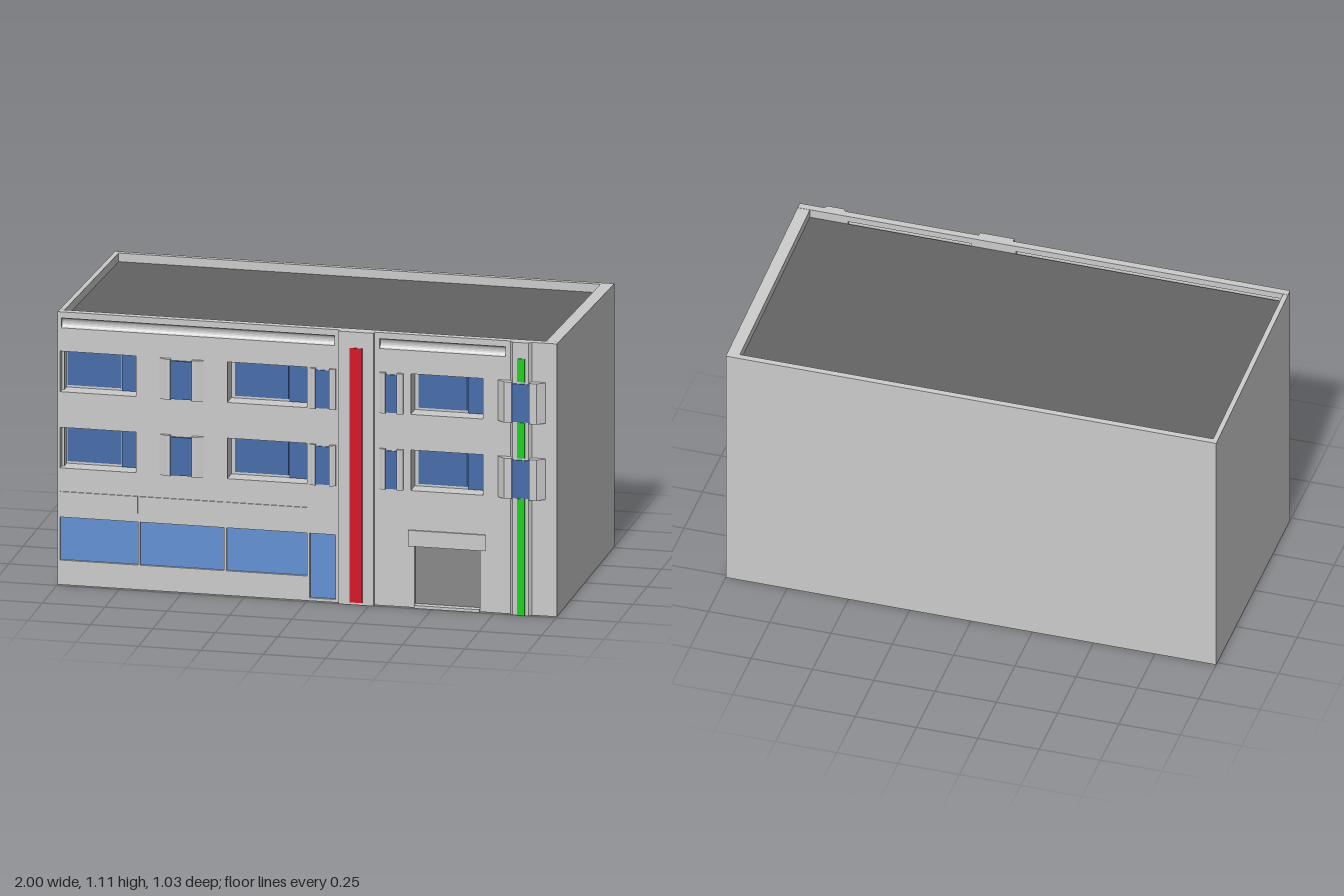
import * as THREE from 'three';

const FRONT = 0.485, BACK = -0.515, TOP = 1.11;
const mat = (color) => new THREE.MeshStandardMaterial({ color, flatShading: true });
const wall = mat(0xcccccc), glass = mat(0x466dab), shopGlass = mat(0x6291d4);
const roofMat = mat(0x636363), doorMat = mat(0x888888), red = mat(0xd41228), green = mat(0x1ad21a);

export function createModel() {
  const group = new THREE.Group();

  function add(name, geometry, material = wall) {
    const mesh = new THREE.Mesh(geometry, material);
    mesh.name = name;
    group.add(mesh);
    return mesh;
  }

  // Box given by its limits
  function box(name, x0, x1, y0, y1, z0, z1, material) {
    const g = new THREE.BoxGeometry(x1 - x0, y1 - y0, z1 - z0);
    g.translate((x0 + x1) / 2, (y0 + y1) / 2, (z0 + z1) / 2);
    return add(name, g, material);
  }

  // Box whose top falls gently towards the back
  function slopedBox(name, x0, x1, y0, y1, z0, z1, material) {
    const mesh = box(name, x0, x1, y0, y1, z0, z1, material);
    const p = mesh.geometry.attributes.position;
    for (let i = 0; i < p.count; i++) {
      if (p.getY(i) > 0.5) p.setY(i, p.getY(i) - 0.04 * (FRONT - p.getZ(i)));
    }
    mesh.geometry.computeVertexNormals();
  }

  // Plan outline [x, z] raised from y0 to y1
  function prism(name, points, y0, y1) {
    const shape = new THREE.Shape(points.map(([x, z]) => new THREE.Vector2(x, -z)));
    const g = new THREE.ExtrudeGeometry(shape, { depth: y1 - y0, bevelEnabled: false });
    g.rotateX(-Math.PI / 2).translate(0, y0, 0);
    add(name, g);
  }

  // Front wall layer with rectangular openings
  function facade(name, height, z0, z1, openings) {
    const shape = new THREE.Shape();
    shape.moveTo(-1, 0).lineTo(1, 0).lineTo(1, height).lineTo(-1, height).closePath();
    for (const [x0, x1, y0, y1] of openings) {
      const hole = new THREE.Path();
      hole.moveTo(x0, y0).lineTo(x0, y1).lineTo(x1, y1).lineTo(x1, y0).closePath();
      shape.holes.push(hole);
    }
    const g = new THREE.ExtrudeGeometry(shape, { depth: z1 - z0, bevelEnabled: false });
    add(name, g.translate(0, 0, z0));
  }

  const floors = [[0.475, 0.64], [0.785, 0.95]];
  const wide = [ // opening x0, x1, then the large and the small pane
    [-0.99, -0.685, -0.975, -0.76, -0.755, -0.693],
    [-0.32, 0, -0.305, -0.09, -0.085, -0.015],
    [0.415, 0.705, 0.43, 0.625, 0.63, 0.693],
  ];
  const shop = [
    [-0.99, -0.678, 0.1, 0.275], [-0.67, -0.333, 0.1, 0.275],
    [-0.323, 0, 0.1, 0.275], [0.01, 0.113, 0.012, 0.275],
  ];
  const garage = [0.43, 0.692, 0.012, 0.25];
  const grooves = [[-0.985, 0.11], [0.29, 0.795]];

  // Main block, parapet and roof
  const openings = [...shop, garage];
  for (const [y0, y1] of floors) for (const w of wide) openings.push([w[0], w[1], y0, y1]);
  facade('frontWall', TOP, 0.455, FRONT,
    [...openings, ...grooves.map(([a, b]) => [a, b, 1.045, 1.085])]);
  facade('frontWallInner', 1.06, 0.415, 0.455, openings);
  slopedBox('mainBlock', -0.98, 0.95, 0, 1.06, -0.49, 0.415);
  slopedBox('leftSideWall', 0.95, 1, 0, TOP, BACK, 0.455);
  slopedBox('rightSideWall', -1, -0.98, 0, TOP, BACK, 0.455);
  slopedBox('backWall', -0.98, 0.95, 0, TOP, BACK, -0.49);
  slopedBox('roof', -0.98, 0.95, 1.062, 1.075, -0.49, 0.455, roofMat);

  // Hollow moulded bands under the parapet
  const hollow = wall.clone();
  hollow.side = THREE.DoubleSide;
  for (const [a, b] of grooves) {
    const g = new THREE.CylinderGeometry(0.02, 0.02, b - a, 10, 1, true, Math.PI / 2, Math.PI);
    g.rotateZ(Math.PI / 2).scale(1, 1, 0.7);
    add('corniceGroove', g, hollow).position.set((a + b) / 2, 1.065, FRONT);
  }

  for (const [y0, y1] of floors) {
    // Deep-set two-pane windows
    for (const [, , a, b, c, d] of wide) {
      box('largePane', a, b, y0 + 0.01, y1 - 0.01, 0.41, 0.42, glass);
      box('smallPane', c, d, y0 + 0.002, y1 - 0.01, 0.41, 0.425, glass);
    }
    // Narrow windows between splayed projecting jambs
    for (const [x0, x1, g0, g1, z, splay] of [
      [-0.59, -0.415, -0.545, -0.46, 0.503, 0.03],
      [0.01, 0.115, 0.035, 0.09, 0.498, 0.015],
      [0.29, 0.385, 0.315, 0.36, 0.498, 0.015],
      [0.765, 0.955, 0.825, 0.895, 0.513, 0.03],
    ]) {
      prism('windowJamb', [[x0, 0.48], [g0, 0.48], [g0, z], [x0 + splay, z], [x0, FRONT + 0.005]], y0, y1);
      prism('windowJamb', [[g1, 0.48], [x1, 0.48], [x1, FRONT + 0.005], [x1 - splay, z], [g1, z]], y0, y1);
      box('narrowPane', g0, g1, y0 + 0.002, y1 - 0.008, 0.48, z - 0.009, glass);
    }
  }

  // Shop front with sign panels above
  for (const [x0, x1, y0, y1] of shop) {
    box('shopPane', x0, x1, y0, y1, 0.42, 0.475, shopGlass);
    if (x1 < 0.01) box('signPanel', x0, x1, 0.31, 0.38, 0.48, 0.49);
  }

  // Garage door, canopy and sill
  box('garageDoor', garage[0], garage[1], garage[2], garage[3], 0.42, 0.468, doorMat);
  box('garageCanopy', 0.405, 0.715, 0.25, 0.315, 0.48, 0.492);
  box('garageSill', 0.43, 0.692, 0, 0.012, 0.48, 0.497);

  // Red-striped pilaster
  box('pilaster', 0.13, 0.27, 0, TOP, 0.48, 0.502);
  box('redStripe', 0.175, 0.225, 0.01, 1.045, 0.49, 0.505, red);

  // Splayed corner pilaster with green stripe
  prism('splayedPilaster', [[0.81, 0.48], [0.905, 0.48], [0.89, 0.499], [0.825, 0.499]], 0, TOP);
  for (const [y0, y1] of [[0, 0.475], [0.64, 0.785], [0.95, 1.045]]) {
    box('greenStripe', 0.845, 0.875, y0, y1, 0.49, 0.502, green);
  }
  return group;
}
